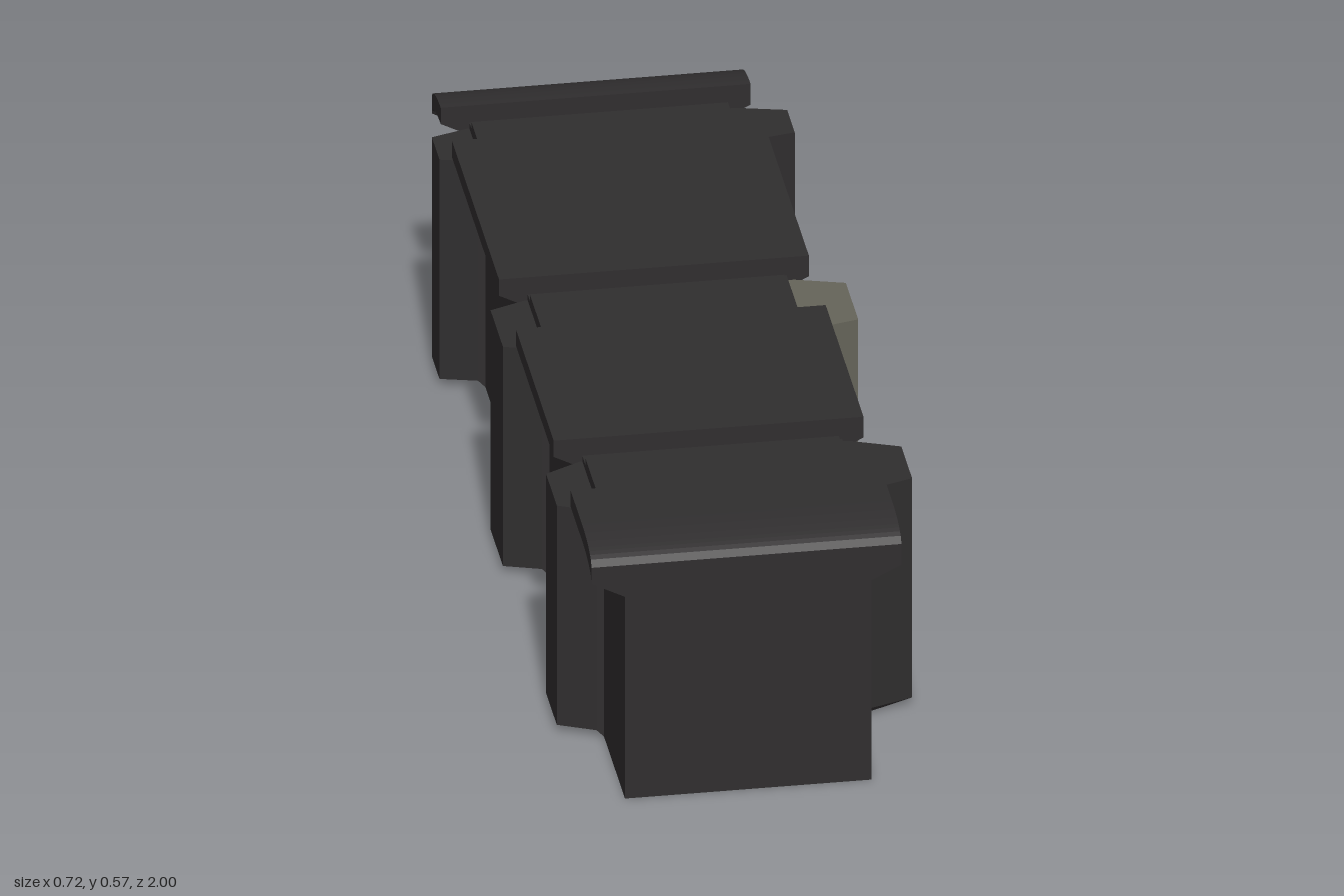
import * as THREE from 'three';

const dark = new THREE.MeshStandardMaterial({ color: 0x302e2f, flatShading: true });
const pale = new THREE.MeshStandardMaterial({ color: 0x66655a, flatShading: true });

// Body walls and the three ribs: base z range and narrower outer z range
const LEFT = 0.23, RIGHT = -0.27, MID = -0.02;
const ribs = [
  { name: 'back', base: [-0.89, -0.75], outer: [-0.865, -0.77] },
  { name: 'middle', base: [-0.16, 0.05], outer: [-0.13, 0.025] },
  { name: 'front', base: [0.525, 0.735], outer: [0.565, 0.7] },
];

function add(group, name, geometry, material = dark) {
  const mesh = new THREE.Mesh(geometry, material);
  mesh.name = name;
  group.add(mesh);
  return mesh;
}

function box(x0, x1, y0, y1, z0, z1) {
  return new THREE.BoxGeometry(x1 - x0, y1 - y0, z1 - z0)
    .translate((x0 + x1) / 2, (y0 + y1) / 2, (z0 + z1) / 2);
}

// Upright post with tapered flanks and a foot that rises outward
function postGeometry(rib, wall, shoulder, edge) {
  const [b0, b1] = rib.base, [o0, o1] = rib.outer;
  const pts = [[wall, b0], [shoulder, b0], [edge, o0], [edge, o1], [shoulder, b1], [wall, b1]];
  const shape = new THREE.Shape(pts.map(([x, z]) => new THREE.Vector2(x, -z)));
  const g = new THREE.ExtrudeGeometry(shape, { depth: 0.515, bevelEnabled: false });
  g.rotateX(-Math.PI / 2);
  const p = g.attributes.position;
  for (let i = 0; i < p.count; i++) {
    if (p.getY(i) < 0.01 && Math.abs(p.getX(i) - wall) > 0.001) p.setY(i, 0.016);
  }
  g.computeVertexNormals();
  return g;
}

// Lid panel with undercut eaves; panels at the ends of the model curl down
function lidGeometry(z0, z1) {
  const steps = 28;
  const shape = new THREE.Shape([
    [-0.27, 0.495], [0.23, 0.49], [0.29, 0.52], [0.29, 0.567], [-0.338, 0.567], [-0.338, 0.53],
  ].map(([x, y]) => new THREE.Vector2(x, y)));
  const g = new THREE.ExtrudeGeometry(shape, { depth: z1 - z0, steps, bevelEnabled: false });
  g.translate(0, 0, z0);
  const p = g.attributes.position;
  for (let i = 0; i < p.count; i++) {
    const t = Math.max(0, (Math.abs(p.getZ(i)) - 0.88) / 0.12);
    const drop = 0.035 * (1 - Math.sqrt(Math.max(0, 1 - t * t)));
    p.setY(i, p.getY(i) - drop);
  }
  g.computeVertexNormals();
  return g;
}

export function createModel() {
  const model = new THREE.Group();
  model.name = 'ribbedCrate';

  add(model, 'body', box(RIGHT, LEFT, 0, 0.515, -0.998, 0.998));

  // Ribs: a post on each side, joined by a stepped strap over the top
  for (const rib of ribs) {
    const group = new THREE.Group();
    group.name = rib.name + 'Rib';
    add(group, 'leftPost', postGeometry(rib, LEFT, 0.26, 0.36), rib.name === 'middle' ? pale : dark);
    // The right post runs the other way, so its outline is mirrored about the body
    add(group, 'rightPost', postGeometry(rib, RIGHT, -0.285, -0.36));
    add(group, 'strapBase', box(RIGHT - 0.01, LEFT + 0.01, 0.48, 0.528, ...rib.base));
    add(group, 'strapRidge', box(RIGHT - 0.01, LEFT + 0.01, 0.5, 0.543, ...rib.outer));
    model.add(group);
  }

  // Lid panels fill the spaces between the ribs
  const cuts = [-1, ...ribs.flatMap((r) => r.base), 1];
  for (let i = 0; i < cuts.length; i += 2) {
    add(model, 'lidPanel' + (i / 2 + 1), lidGeometry(cuts[i], cuts[i + 1]));
  }
  return model;
}
